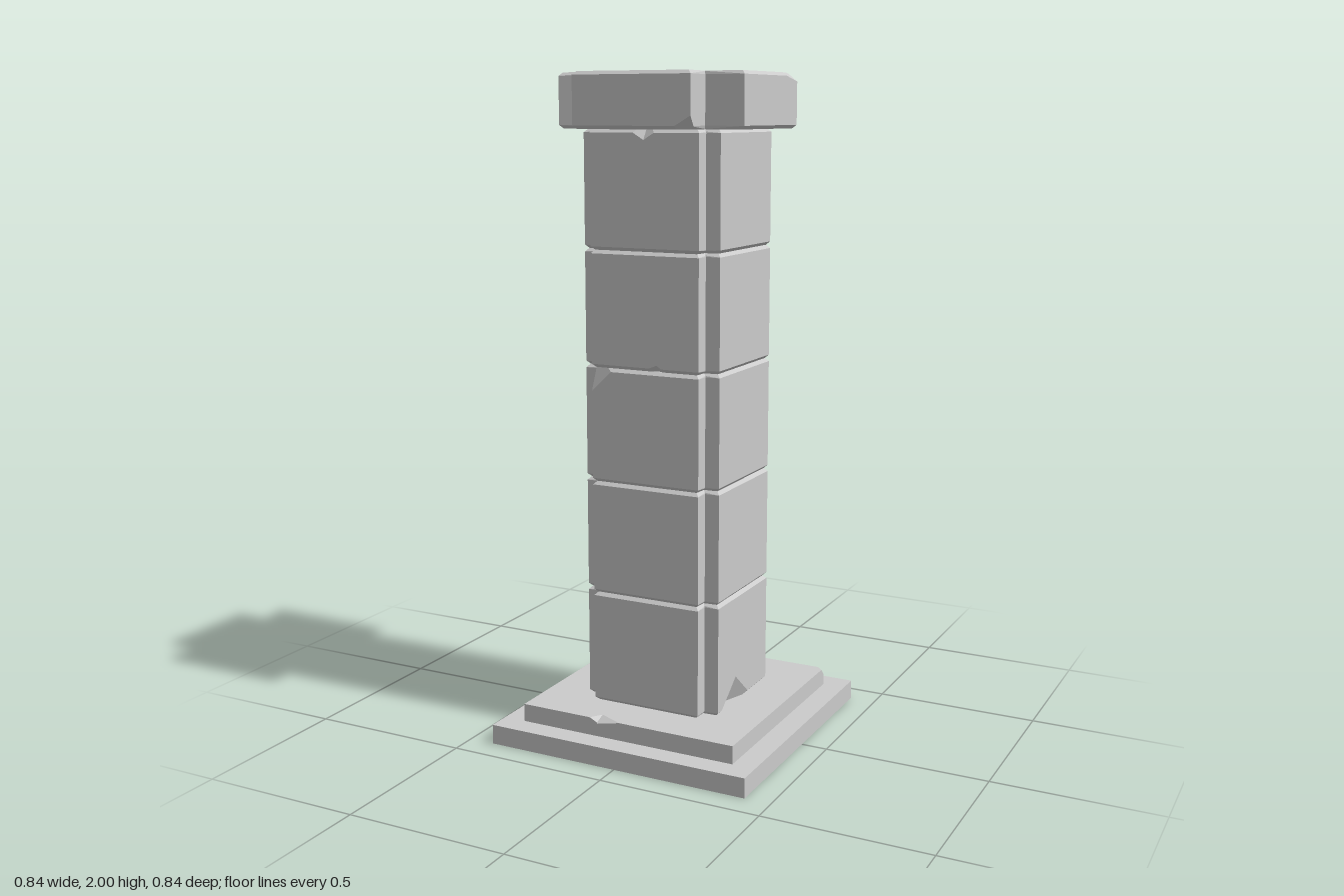
import * as THREE from 'three';
import { ConvexGeometry } from 'three/addons/geometries/ConvexGeometry.js';

const V = (x, y, z) => new THREE.Vector3(x, y, z);
const material = new THREE.MeshStandardMaterial({ color: 0xcccccc, flatShading: true });

// Keeps the part of a convex point set behind a plane
function clip(points, plane) {
  const side = points.map((p) => plane.distanceToPoint(p));
  const kept = points.filter((p, i) => side[i] <= 1e-6);
  points.forEach((p, i) => points.forEach((q, j) => {
    if (side[i] < -1e-6 && side[j] > 1e-6) kept.push(p.clone().lerp(q, side[i] / (side[i] - side[j])));
  }));
  return kept;
}

// Breaks off whatever lies outside the plane through a, b and c
function chip(points, a, b, c) {
  const plane = new THREE.Plane().setFromCoplanarPoints(a, b, c);
  const middle = points.reduce((sum, p) => sum.add(p), V(0, 0, 0)).divideScalar(points.length);
  if (plane.distanceToPoint(middle) > 0) plane.negate();
  return clip(points, plane);
}

// Splits a stone along the deepest line of a dent and chips both halves
function dent(points, left, right, apex, deep) {
  const lower = clip(points, new THREE.Plane(V(1, 0, 0), -deep.x));
  const upper = clip(points, new THREE.Plane(V(-1, 0, 0), deep.x));
  return [chip(lower, left, apex, deep), chip(upper, right, apex, deep)];
}

// Stone reaching towards +z, with bevelled top and bottom edges
function stone(halfIn, halfOut, zIn, zOut, y0, y1, bevel) {
  const points = [];
  for (const [y, inset] of [[y0, bevel], [y0 + bevel, 0], [y1 - bevel, 0], [y1, bevel]]) {
    for (const s of [-1, 1]) {
      points.push(V(s * (halfIn - inset * 0.3), y, zIn), V(s * (halfOut - inset), y, zOut - inset));
    }
  }
  return points;
}

function addStone(parent, name, pieces, quarter = 0) {
  for (const points of pieces) {
    const mesh = new THREE.Mesh(new ConvexGeometry(points), material);
    mesh.name = name;
    mesh.rotation.y = quarter * Math.PI / 2;
    parent.add(mesh);
  }
}

function addGroup(parent, name) {
  const group = new THREE.Group();
  group.name = name;
  parent.add(group);
  return group;
}

export function createModel() {
  const model = new THREE.Group();
  model.name = 'stoneColumn';
  const sides = ['front', 'right', 'back', 'left'];

  // Two-step base with worn corners and a dent in the front edge
  const base = addGroup(model, 'base');
  const slab = stone(0.42, 0.42, -0.42, 0.42, 0, 0.06, 0);
  addStone(base, 'lowerStep', [chip(slab, V(-0.42, 0.06, -0.385), V(-0.4, 0.06, -0.42), V(-0.42, 0.025, -0.42))]);
  const step = chip(stone(0.35, 0.35, -0.35, 0.35, 0.06, 0.115, 0),
    V(0.35, 0.115, -0.33), V(0.33, 0.115, -0.35), V(0.35, 0.095, -0.35));
  addStone(base, 'upperStep', dent(step,
    V(-0.12, 0.115, 0.35), V(-0.02, 0.115, 0.35), V(-0.09, 0.1, 0.35), V(-0.095, 0.115, 0.315)));

  // Shaft: five courses with notched corners
  const shaft = addGroup(model, 'shaft');
  const bottom = 0.115, height = 0.345, face = 0.22;
  for (let i = 0; i < 5; i++) {
    const y0 = bottom + i * height, y1 = y0 + height;
    const course = addGroup(shaft, 'course' + (i + 1));
    sides.forEach((side, k) => {
      const block = stone(0.175, 0.175, 0.1, face, y0, y1, 0.01);
      let pieces = [block];
      // Damage on single stones
      if (i === 0 && side === 'right') {
        pieces = dent(block, V(-0.16, y0, face), V(0.05, y0, face), V(-0.05, 0.2, face), V(-0.05, y0, 0.185));
      } else if (i === 2 && side === 'front') {
        pieces = [chip(block, V(-0.175, 1.08, face), V(-0.1, y1, face), V(-0.175, y1, 0.19))];
      } else if (i === 3 && side === 'front') {
        pieces = dent(block, V(-0.01, y0, face), V(0.07, y0, face), V(0.04, y0 + 0.02, face), V(0.04, y0, 0.2));
      } else if (i === 4 && side === 'front') {
        pieces = dent(block, V(-0.05, y1, face), V(0.05, y1, face), V(0, y1 - 0.03, face), V(0, y1, 0.2));
      }
      addStone(course, side + 'Block', pieces, k);
    });
  }

  // Cap: four flared arms around a shallow square recess
  const cap = addGroup(model, 'cap');
  sides.forEach((side, k) => {
    let arm = stone(0.166, 0.186, 0.15, 0.296, 1.84, 2, 0.01);
    if (side === 'front') arm = chip(arm, V(0.12, 1.84, 0.296), V(0.186, 1.878, 0.296), V(0.183, 1.84, 0.26));
    if (side === 'right') arm = chip(arm, V(0.185, 2, 0.266), V(0.1, 2, 0.286), V(0.186, 1.975, 0.296));
    addStone(cap, side + 'Arm', [arm], k);
  });
  addStone(cap, 'recessFloor', [stone(0.155, 0.155, -0.155, 0.155, 1.84, 1.985, 0)]);

  return model;
}
